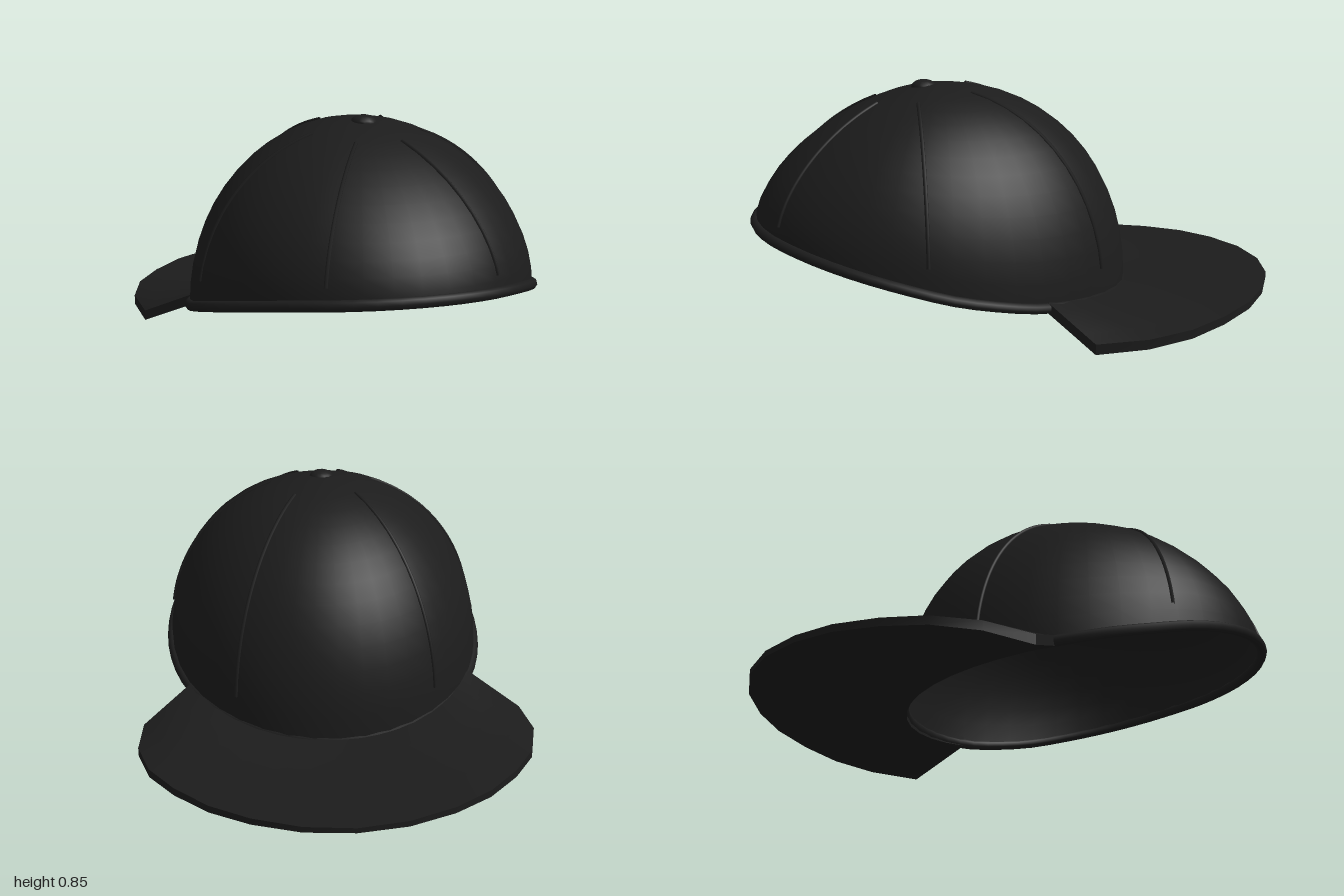
import * as THREE from 'three';
import { mergeVertices, toCreasedNormals } from 'three/addons/utils/BufferGeometryUtils.js';

const RX = 0.62, RZ = 0.70, RZ_BACK = 0.715, CZ = 0.28, TOP = 0.838;

// Height of the crown's lower edge, rising from the brim end to the open end
const EDGE = [[-0.42, 0.075], [-0.2, 0.095], [0, 0.12], [0.28, 0.178], [0.5, 0.235], [0.8, 0.305], [0.98, 0.335]];
function rimY(z) {
  let i = 0;
  while (i < EDGE.length - 2 && z > EDGE[i + 1][0]) i++;
  const [z0, y0] = EDGE[i], [z1, y1] = EDGE[i + 1];
  return y0 + (y1 - y0) * (z - z0) / (z1 - z0);
}

// Dome curve exponent: full at the back, round at the sides, flatter toward +z
const exponent = (c) => (c > 0 ? 2 - 0.37 * Math.pow(c, 1.5) : 2 - 0.13 * c);
const depth = (z) => (z > 0 ? RZ : RZ_BACK);

function crownY(x, z) {
  const dx = x / RX, dz = (z - CZ) / depth(z - CZ);
  const f = Math.min(1, Math.hypot(dx, dz)), c = dz / Math.max(1e-5, Math.hypot(dx, dz));
  const n = exponent(c), edge = rimY(CZ + RZ * c);
  return edge + (TOP - edge) * Math.pow(Math.max(0, 1 - Math.pow(f, n)), 1 / n);
}

// Crown: a hemisphere reshaped onto the dome curve, optionally inset
function crownGeometry(inset) {
  let g = new THREE.SphereGeometry(1, 40, 14, 0, Math.PI * 2, 0, Math.PI / 2);
  const p = g.attributes.position, top = TOP - inset;
  for (let i = 0; i < p.count; i++) {
    const x = p.getX(i), y = Math.max(0, p.getY(i)), z = p.getZ(i);
    const s = Math.hypot(x, z);
    if (s < 1e-5) { p.setXYZ(i, 0, top, CZ); continue; }
    const c = z / s, n = exponent(c), f = Math.pow(s, 2 / n), edge = rimY(CZ + RZ * c);
    p.setXYZ(i, (RX - inset) * f * x / s, edge + (top - edge) * Math.pow(y, 2 / n),
      CZ + (depth(z) - inset) * f * c);
  }
  g.deleteAttribute('normal');
  g.deleteAttribute('uv');
  g = mergeVertices(g, 1e-4);
  g.computeVertexNormals();
  return g;
}

// Rolled edge around the opening
function rimGeometry() {
  const pts = [];
  for (let i = 0; i < 28; i++) {
    const a = i / 28 * Math.PI * 2, z = CZ + RZ * Math.cos(a);
    pts.push(new THREE.Vector3(RX * Math.sin(a), rimY(z), z));
  }
  return new THREE.TubeGeometry(new THREE.CatmullRomCurve3(pts, true), 56, 0.02, 8, true);
}

// Raised seam running down the crown from near the button
function seamGeometry(angle) {
  const oz = 0.37, dx = Math.sin(angle), dz = Math.cos(angle), rz = depth(dz + 0.1);
  // distance along the ray to the crown's edge
  const A = (dx / RX) ** 2 + (dz / rz) ** 2;
  const B = dz * (oz - CZ) / rz ** 2;
  const C = ((oz - CZ) / rz) ** 2 - 1;
  const reach = (-B + Math.sqrt(B * B - A * C)) / A;
  const start = Math.asin((0.2 - 0.04 * dz) / reach), end = (0.905 - 0.02 * dz) * Math.PI / 2;
  const pts = [];
  for (let i = 0; i <= 12; i++) {
    const r = reach * Math.sin(start + (end - start) * i / 12);
    const x = r * dx, z = oz + r * dz;
    pts.push(new THREE.Vector3(x, crownY(x, z), z));
  }
  return new THREE.TubeGeometry(new THREE.CatmullRomCurve3(pts), 24, 0.007, 6, false);
}

// Brim: closed cross-sections swept around the back of the crown
function brimGeometry() {
  const half = [[0.73, -0.19], [0.745, -0.375], [0.70, -0.54], [0.61, -0.68],
    [0.49, -0.81], [0.35, -0.905], [0.18, -0.975], [0, -1]];
  const outer = [...half, ...half.slice(0, 7).reverse().map(([x, z]) => [-x, z])];
  const M = 5, R = M * 2, pos = [], idx = [];
  outer.forEach(([ox, oz], i) => {
    const u = (7 - i) / 7, k = Math.abs(u), a = 1.08 * u;
    const ix = (RX - 0.015) * Math.sin(a), iz = CZ - (RZ - 0.01) * Math.cos(a);
    const iy = 0.063 + 0.057 * k * k;
    const oy = 0.019 + 0.066 * (-oz - 0.19) / 0.81;
    const row = [];
    for (let j = 0; j < M; j++) {
      const v = j / (M - 1);
      const y = iy + (oy - iy) * v - 0.01 * Math.sin(v * Math.PI) * (1 - k);
      const t = 0.02 + (0.01 + 0.009 * k - 0.02) * v;
      row.push([ix + (ox - ix) * v, y, iz + (oz - iz) * v, t]);
    }
    row.forEach(([x, y, z, t]) => pos.push(x, y + t, z));
    row.reverse().forEach(([x, y, z, t]) => pos.push(x, y - t, z));
  });
  const last = (outer.length - 1) * R;
  for (let i = 0; i < outer.length - 1; i++) {
    for (let j = 0; j < R; j++) {
      const a = i * R + j, b = i * R + (j + 1) % R, c = a + R, d = b + R;
      idx.push(a, b, c, b, d, c);
    }
  }
  // end caps
  for (let j = 0; j < M - 1; j++) {
    const a = j, b = R - 1 - j, c = j + 1, d = R - 2 - j;
    idx.push(a, b, c, c, b, d);
    idx.push(last + a, last + c, last + b, last + c, last + d, last + b);
  }
  const g = new THREE.BufferGeometry();
  g.setAttribute('position', new THREE.Float32BufferAttribute(pos, 3));
  g.setIndex(idx);
  return toCreasedNormals(g, 0.7);
}

export function createModel() {
  const cap = new THREE.Group();
  cap.name = 'cap';
  const fabric = new THREE.MeshStandardMaterial({ color: 0x1c1c1c, side: THREE.DoubleSide });
  fabric.name = 'black fabric';

  function add(name, geometry, parent = cap) {
    const mesh = new THREE.Mesh(geometry, fabric);
    mesh.name = name;
    parent.add(mesh);
    return mesh;
  }

  add('crown', crownGeometry(0));
  add('lining', crownGeometry(0.015));
  add('rim', rimGeometry());
  add('brim', brimGeometry());

  const button = add('button', new THREE.SphereGeometry(0.048, 14, 10));
  button.scale.y = 0.6;
  button.position.set(0, 0.824, 0.335);

  // six seams, 60 degrees apart
  const seams = new THREE.Group();
  seams.name = 'seams';
  cap.add(seams);
  for (let i = 0; i < 6; i++) add('seam' + (i + 1), seamGeometry(Math.PI / 6 + i * Math.PI / 3), seams);

  return cap;
}
